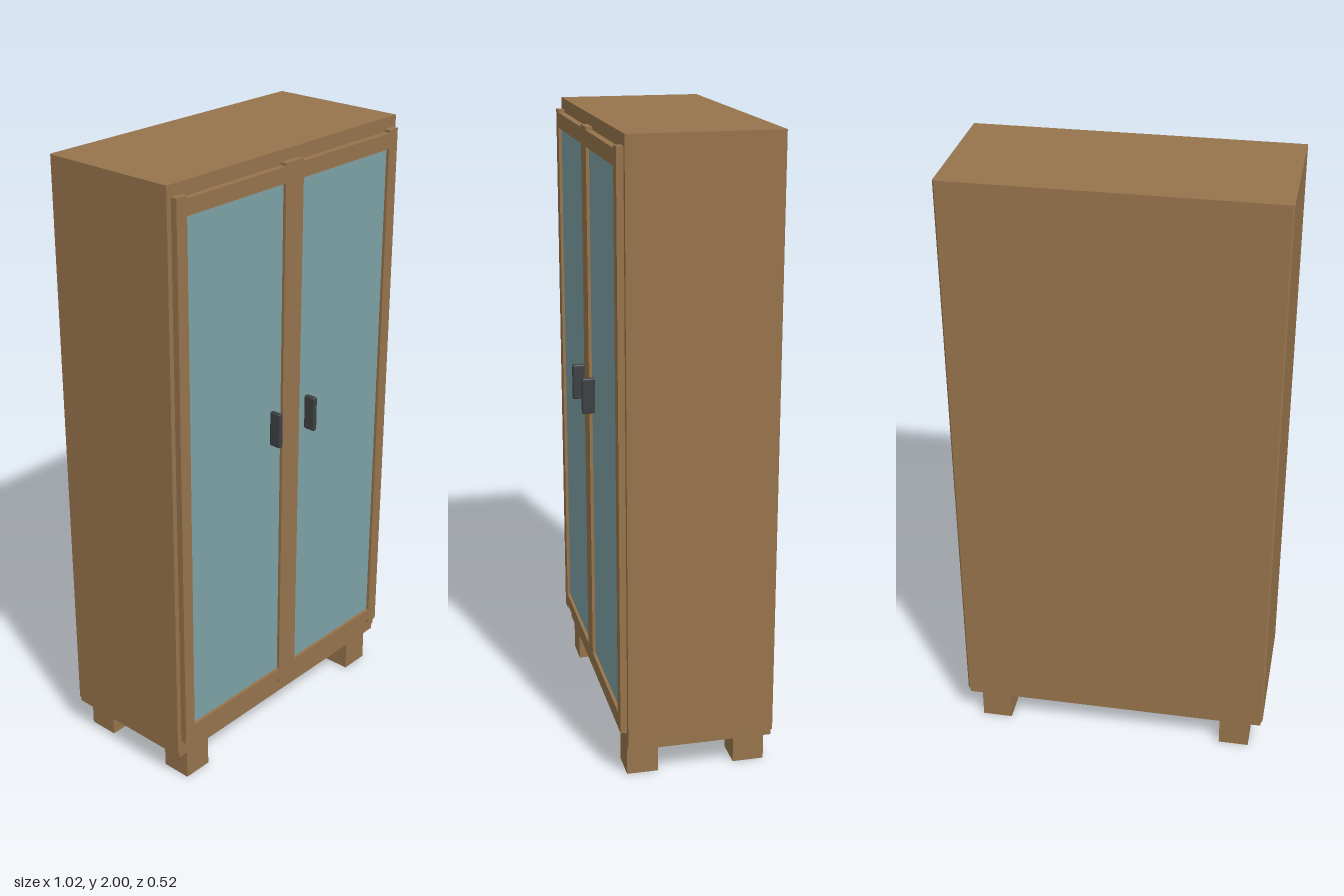
import * as THREE from 'three';
import { RoundedBoxGeometry } from 'three/addons/geometries/RoundedBoxGeometry.js';

const material = (name, color) => {
  const m = new THREE.MeshStandardMaterial({ color });
  m.name = name;
  return m;
};

export function createModel() {
  const wood = material('wood', 0x97744c);
  const glass = material('glass', 0x7da2a6);
  const metal = material('darkMetal', 0x3d4042);

  const cabinet = new THREE.Group();
  cabinet.name = 'cabinet';

  const add = (parent, name, geometry, mat) => {
    const mesh = new THREE.Mesh(geometry, mat);
    mesh.name = name;
    parent.add(mesh);
    return mesh;
  };
  // Box given by its extents on each axis
  const box = (parent, name, mat, [x0, x1], [y0, y1], [z0, z1]) =>
    add(parent, name, new THREE.BoxGeometry(x1 - x0, y1 - y0, z1 - z0), mat)
      .position.set((x0 + x1) / 2, (y0 + y1) / 2, (z0 + z1) / 2);

  // Carcass: footprint with eased back corners, raised to full height
  const footprint = new THREE.Shape([
    [-0.512, -0.205], [0.512, -0.205], [0.512, 0.256],
    [0.507, 0.261], [-0.507, 0.261], [-0.512, 0.256],
  ].map(([x, y]) => new THREE.Vector2(x, y)));
  const carcass = new THREE.ExtrudeGeometry(footprint, { depth: 1.875, bevelEnabled: false });
  carcass.rotateX(-Math.PI / 2).translate(0, 0.125, 0);
  add(cabinet, 'carcass', carcass, wood);

  // Base, slightly set in, and the floor's front edge
  box(cabinet, 'base', wood, [-0.506, 0.506], [0.105, 0.125], [-0.256, 0.205]);
  box(cabinet, 'floorEdge', wood, [-0.48, 0.48], [0.149, 0.165], [0.2, 0.207]);

  for (const side of [-1, 1]) {
    const label = side > 0 ? 'left' : 'right';
    const span = (a, b) => (side > 0 ? [a, b] : [-b, -a]);

    // Framed glass door
    const door = new THREE.Group();
    door.name = label + 'Door';
    cabinet.add(door);
    const depth = [0.205, 0.226];
    box(door, 'outerStile', wood, span(0.455, 0.496), [0.163, 1.965], depth);
    box(door, 'innerStile', wood, span(0, 0.04), [0.163, 1.965], depth);
    box(door, 'topRail', wood, span(0.04, 0.455), [1.906, 1.956], depth);
    box(door, 'bottomRail', wood, span(0.04, 0.455), [0.175, 0.217], depth);
    box(door, 'glassPane', glass, span(0.04, 0.455), [0.217, 1.906], [0.207, 0.216]);

    // Handle
    add(door, 'handle', new RoundedBoxGeometry(0.017, 0.116, 0.042, 2, 0.006), metal)
      .position.set(side * 0.083, 1.134, 0.237);

    // Legs
    box(cabinet, label + 'FrontLeg', wood, span(0.366, 0.466), [0, 0.105], [0.1, 0.2]);
    box(cabinet, label + 'BackLeg', wood, span(0.366, 0.466), [0, 0.105], [-0.245, -0.145]);
  }
  return cabinet;
}
